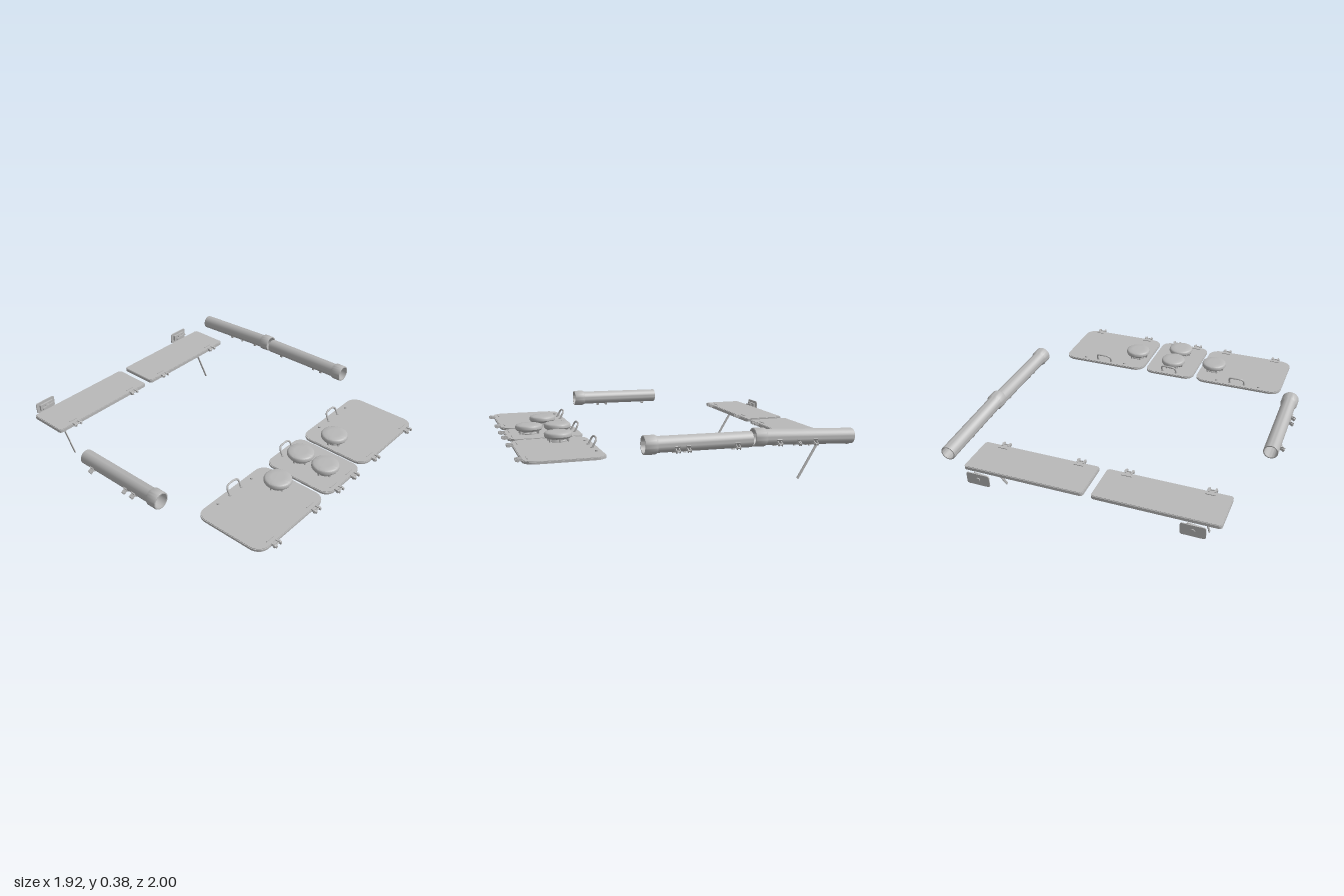
import * as THREE from 'three';
import { toCreasedNormals } from 'three/addons/utils/BufferGeometryUtils.js';

const grey = new THREE.MeshStandardMaterial({ color: 0xb8b8b8 });
grey.name = 'plain grey';

function add(parent, name, geo, x = 0, y = 0, z = 0) {
  const m = new THREE.Mesh(geo, grey);
  m.name = name;
  m.position.set(x, y, z);
  parent.add(m);
  return m;
}
const box = (w, h, d) => new THREE.BoxGeometry(w, h, d);
const cyl = (r, h, n = 20) => new THREE.CylinderGeometry(r, r, h, n);
const lathe = (pts, n = 40) =>
  toCreasedNormals(new THREE.LatheGeometry(pts.map(p => new THREE.Vector2(...p)), n), 0.6);

function group(parent, name, x = 0, y = 0, z = 0) {
  const g = new THREE.Group();
  g.name = name;
  g.position.set(x, y, z);
  parent.add(g);
  return g;
}

// Rounded rectangle outline
function outline(s, w, d, r) {
  const a = w / 2, b = d / 2;
  s.moveTo(-a + r, -b);
  s.lineTo(a - r, -b); s.absarc(a - r, -b + r, r, -Math.PI / 2, 0);
  s.lineTo(a, b - r); s.absarc(a - r, b - r, r, 0, Math.PI / 2);
  s.lineTo(-a + r, b); s.absarc(-a + r, b - r, r, Math.PI / 2, Math.PI);
  s.lineTo(-a, -b + r); s.absarc(-a + r, -b + r, r, Math.PI, Math.PI * 1.5);
  return s;
}

// Flat slab lying in xz, its top at y = 0; a rim width leaves it open in the middle
function slab(w, d, r, h, rim = 0) {
  const s = outline(new THREE.Shape(), w, d, r);
  if (rim) s.holes.push(outline(new THREE.Path(), w - 2 * rim, d - 2 * rim, Math.max(r - rim, 0.004)));
  const g = new THREE.ExtrudeGeometry(s, { depth: h, bevelEnabled: false, curveSegments: 8 });
  g.rotateX(Math.PI / 2);
  return toCreasedNormals(g, 0.5);
}

// Panel with a raised edge on its underside
function panel(parent, name, x0, x1, z0, z1, r, top, h, rim) {
  const g = group(parent, name, (x0 + x1) / 2, top, (z0 + z1) / 2);
  const w = x1 - x0, d = z1 - z0;
  add(g, 'skin', slab(w - 0.008, d - 0.008, r, 0.003));
  add(g, 'plate', slab(w, d, r, 0.005), 0, -0.003);
  add(g, 'rim', slab(w, d, r, h - 0.008, rim), 0, -0.008);
  return g;
}

// Hinge with two arms, a pin and a small bar on the panel, reaching towards +z
function hinge(parent, x, y, z, reach) {
  const g = group(parent, 'hinge', x, y, z);
  add(g, 'hingeBar', box(0.06, 0.006, 0.006), 0, 0.001, -0.03);
  add(g, 'hingeLeaf', box(0.05, 0.006, 0.016), 0, -0.006, 0.004);
  for (const s of [-1, 1]) {
    add(g, 'hingeArm', box(0.01, 0.014, reach + 0.01), s * 0.019, -0.004, reach / 2);
    add(g, 'hingeEar', cyl(0.009, 0.012, 14), s * 0.022, -0.004, reach - 0.009).rotation.z = Math.PI / 2;
  }
  add(g, 'hingePin', cyl(0.004, 0.06, 10), 0, -0.004, reach - 0.009).rotation.z = Math.PI / 2;
}

// Mushroom ventilator
function vent(parent, x, y, z) {
  const g = group(parent, 'ventilator', x, y, z);
  add(g, 'ventNeck', lathe([[0.056, 0], [0.056, 0.006], [0.05, 0.01], [0.05, 0.026]], 32));
  add(g, 'ventCap', lathe([[0, 0.018], [0.062, 0.018], [0.076, 0.022], [0.083, 0.032], [0.083, 0.044],
    [0.079, 0.052], [0.07, 0.057], [0.04, 0.058], [0, 0.058]]));
  for (let i = 0; i < 6; i++) {
    const a = i * Math.PI / 3;
    add(g, 'ventFoot', box(0.014, 0.02, 0.01), Math.cos(a) * 0.06, 0.01, Math.sin(a) * 0.06).rotation.y = -a;
  }
}

// Leaning grab handle
function handle(parent, x, y, z) {
  const g = group(parent, 'handle', x, y, z);
  const pts = [[-0.05, 0, 0], [-0.05, 0.03, -0.016], [-0.046, 0.042, -0.022], [-0.034, 0.05, -0.027],
    [0.034, 0.05, -0.027], [0.046, 0.042, -0.022], [0.05, 0.03, -0.016], [0.05, 0, 0]];
  const curve = new THREE.CatmullRomCurve3(pts.map(p => new THREE.Vector3(...p)), false, 'centripetal');
  add(g, 'handleBar', new THREE.TubeGeometry(curve, 40, 0.006, 8));
  for (const s of [-1, 1]) add(g, 'handleFoot', cyl(0.01, 0.006, 16), s * 0.05, 0.002, 0);
}

// Hollow cylinder along z with a wider collar at the front and lugs on the outer side
function canister(parent, name, x, y, z, tilt, side, lugs) {
  const g = group(parent, name, x, y, z);
  g.rotation.x = -tilt;
  const body = lathe([[0.038, -0.31], [0.044, -0.31], [0.045, -0.306], [0.045, 0.232], [0.051, 0.244],
    [0.053, 0.248], [0.053, 0.306], [0.051, 0.31], [0.044, 0.31], [0.044, 0.25], [0.038, 0.24], [0.038, -0.31]]);
  body.rotateX(Math.PI / 2);
  add(g, 'tubeBody', body);
  for (const [lz, wide] of lugs) {
    const lug = group(g, 'lug', 0, 0, lz);
    lug.rotation.z = side > 0 ? -0.5 : Math.PI + 0.5;
    add(lug, 'lugPad', box(0.006, 0.034, wide + 0.01), 0.045, 0, 0);
    for (const s of [-1, 1]) add(lug, 'lugArm', box(0.03, 0.016, 0.005), 0.06, 0, s * wide / 2);
    add(lug, 'lugPin', cyl(0.005, wide + 0.008, 10), 0.068, 0, 0).rotation.x = Math.PI / 2;
    // Second small foot on the underside
    const foot = add(g, 'lugFoot', box(0.012, 0.014, wide), -side * 0.012, -0.048, lz);
    foot.rotation.z = side * 0.2;
  }
}

// Wall latch with a back plate, hub and lever
function latch(parent, x) {
  const g = group(parent, 'latch', x, 0.247, -1);
  const plate = slab(0.144, 0.074, 0.012, 0.007);
  plate.rotateX(Math.PI / 2);
  add(g, 'latchPlate', plate, 0, 0, 0.012);
  add(g, 'latchHub', cyl(0.014, 0.012, 20), 0, 0, 0.006).rotation.x = Math.PI / 2;
  add(g, 'latchBlock', box(0.1, 0.04, 0.014), 0, 0, 0.018);
  add(g, 'latchStem', cyl(0.015, 0.026, 16), 0, 0, 0.03).rotation.x = Math.PI / 2;
  add(g, 'latchLever', box(0.088, 0.014, 0.008), 0, 0.005, 0.042).rotation.z = 0.12;
}

// Thin prop leg leaning forward to the ground
function prop(parent, x) {
  const top = [0.245, -0.845], foot = [0.008, -0.704];
  const dy = top[0] - foot[0], dz = top[1] - foot[1];
  const m = add(parent, 'propLeg', box(0.005, Math.hypot(dy, dz), 0.015),
    x, (top[0] + foot[0]) / 2, (top[1] + foot[1]) / 2);
  m.rotation.x = Math.atan2(dz, dy);
  add(parent, 'propFoot', cyl(0.0078, 0.006, 14), x, 0.008, -0.704).rotation.z = Math.PI / 2;
  add(parent, 'propPivot', cyl(0.008, 0.016, 14), x, 0.242, -0.845).rotation.z = Math.PI / 2;
}

export function createModel() {
  const root = new THREE.Group();
  root.name = 'hatchesAndTubes';

  // Front hatches with ventilators, handles, bolts and hinges
  const top = 0.255;
  const front = group(root, 'frontHatches');
  panel(front, 'rightHatch', -0.788, -0.195, 0.51, 0.967, 0.07, top, 0.015, 0.012);
  panel(front, 'middleHatch', -0.173, 0.172, 0.51, 0.967, 0.06, top, 0.015, 0.012);
  panel(front, 'leftHatch', 0.192, 0.785, 0.51, 0.967, 0.07, top, 0.015, 0.012);
  for (const [x, z] of [[-0.287, 0.693], [0, 0.645], [0, 0.823], [0.285, 0.693]]) vent(front, x, top, z);
  for (const x of [-0.49, 0, 0.49]) handle(front, x, top, 0.547);
  for (const x of [-0.64, -0.344, 0.34, 0.636]) add(front, 'bolt', cyl(0.009, 0.01, 16), x, top + 0.003, 0.545);
  for (const x of [-0.67, -0.312, -0.084, 0.08, 0.307, 0.688]) hinge(front, x, top, 0.967, 0.028);

  // Rear panels with hinges
  const rear = group(root, 'rearPanels');
  panel(rear, 'rightRearPanel', -0.778, -0.026, -0.925, -0.66, 0.02, 0.262, 0.022, 0.016);
  panel(rear, 'leftRearPanel', 0.022, 0.774, -0.925, -0.66, 0.02, 0.262, 0.022, 0.016);
  for (const x of [-0.65, -0.154, 0.147, 0.641]) hinge(rear, x, 0.262, -0.662, 0.028);

  for (const x of [-0.66, 0.637]) prop(root, x);
  for (const x of [-0.639, 0.637]) latch(root, x);

  // Side tubes
  const near = [[-0.213, 0.018], [0.07, 0.014], [0.133, 0.018]];
  const far = [[-0.055, 0.018], [0.045, 0.01], [0.167, 0.02]];
  canister(root, 'rightTube', -0.89, 0.325, 0.043, 0.008, -1, near);
  canister(root, 'leftFrontTube', 0.887, 0.325, 0.043, 0.008, 1, near);
  canister(root, 'leftRearTube', 0.887, 0.318, -0.588, 0.045, 1, far);
  return root;
}
